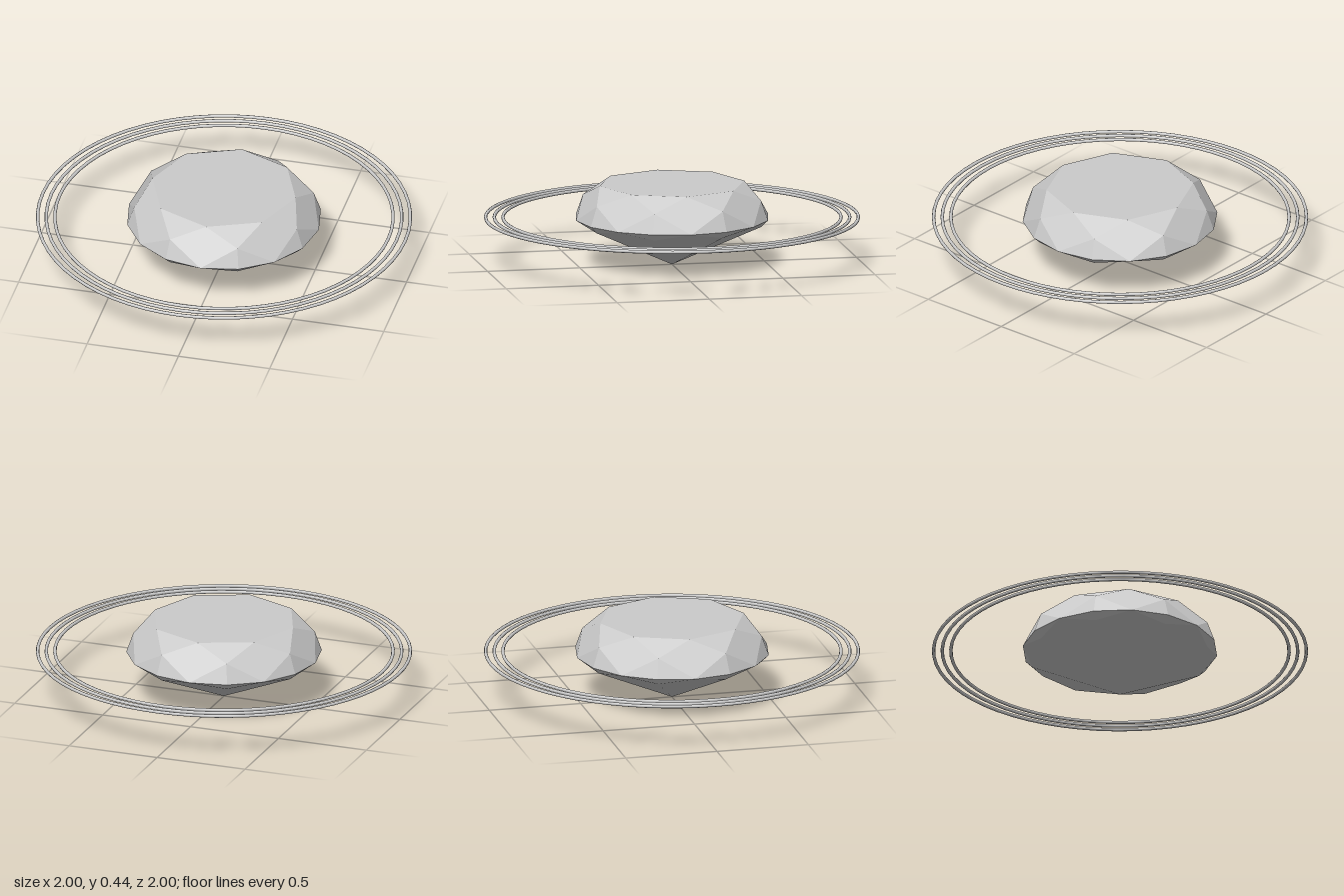
import * as THREE from 'three';

const GIRDLE_Y = 0.256, GIRDLE_R = 0.52, MID_R = 0.482;

// Point on a circle, step counted in sixteenths of a turn
const at = (r, y, step) => {
  const a = step * Math.PI / 8;
  return [r * Math.cos(a), y, r * Math.sin(a)];
};

// One cut half: eight kites, sixteen girdle triangles, eight facets to the end
function facetHalf(endR, endY, flip) {
  const pos = [];
  const tri = (a, b, c) => pos.push(...a, ...(flip ? c : b), ...(flip ? b : c));

  // Height of the shared kite corners, chosen so that each kite stays flat
  const t = (GIRDLE_R - MID_R * Math.cos(Math.PI / 8)) / (GIRDLE_R - endR);
  const midY = GIRDLE_Y + t * (endY - GIRDLE_Y);
  const end = s => at(endR, endY, s);
  const mid = s => at(MID_R, midY, s);
  const rim = s => at(GIRDLE_R, GIRDLE_Y, s);

  for (let s = 0; s < 16; s += 2) {
    // Kite
    tri(end(s), mid(s + 1), mid(s - 1));
    tri(mid(s - 1), mid(s + 1), rim(s));
    // Girdle pair
    tri(mid(s + 1), rim(s + 1), rim(s));
    tri(mid(s + 1), rim(s + 2), rim(s + 1));
    if (endR > 0) {
      // Star facet and a slice of the flat table
      tri(end(s), end(s + 2), mid(s + 1));
      tri([0, endY, 0], end(s + 2), end(s));
    }
  }
  const geo = new THREE.BufferGeometry();
  geo.setAttribute('position', new THREE.Float32BufferAttribute(pos, 3));
  geo.computeVertexNormals();
  return geo;
}

export function createModel() {
  const model = new THREE.Group();
  const gemMat = new THREE.MeshStandardMaterial({ color: 0xcccccc, flatShading: true });
  const ringMat = new THREE.MeshStandardMaterial({ color: 0xcccccc });
  const add = (name, geo, mat) => {
    const mesh = new THREE.Mesh(geo, mat);
    mesh.name = name;
    model.add(mesh);
    return mesh;
  };

  // Cut gem
  add('gemCrown', facetHalf(0.392, 0.438, false), gemMat);
  add('gemPavilion', facetHalf(0, 0, true), gemMat);

  // Three thin concentric rings around the girdle
  [0.991, 0.945, 0.899].forEach((r, i) => {
    const ring = add('ring' + (i + 1), new THREE.TorusGeometry(r, 0.009, 8, 64), ringMat);
    ring.rotation.x = Math.PI / 2;
    ring.position.y = 0.255;
  });
  return model;
}
